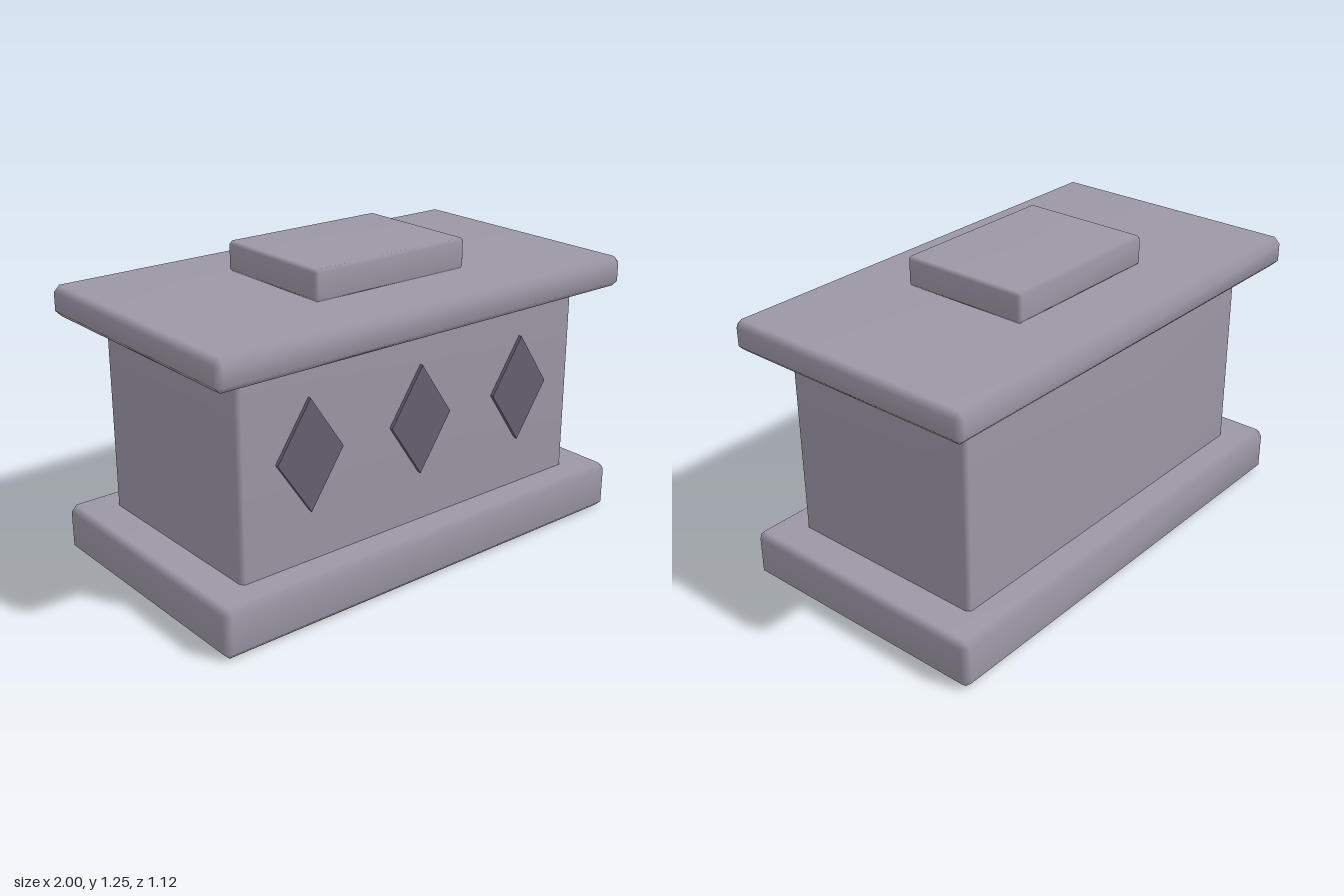
import * as THREE from 'three';
import { ConvexGeometry } from 'three/addons/geometries/ConvexGeometry.js';
import { mergeVertices } from 'three/addons/utils/BufferGeometryUtils.js';

// Box with one-step chamfers and softened normals
function chamferBox(w, h, d, c) {
  const pts = [];
  for (const x of [-1, 1]) for (const y of [-1, 1]) for (const z of [-1, 1]) {
    for (let axis = 0; axis < 3; axis++) {
      const inset = [c, c, c];
      inset[axis] = 0;
      pts.push(new THREE.Vector3(
        x * (w / 2 - inset[0]), y * (h / 2 - inset[1]), z * (d / 2 - inset[2])));
    }
  }
  let geo = new ConvexGeometry(pts);
  geo.deleteAttribute('normal');
  geo = mergeVertices(geo, 1e-4);
  geo.computeVertexNormals();
  return geo;
}

export function createModel() {
  const group = new THREE.Group();
  group.name = 'stoneChest';
  const stone = new THREE.MeshStandardMaterial({ color: 0x9c97a5 });
  stone.name = 'greyStone';
  const dark = new THREE.MeshStandardMaterial({ color: 0x665f70 });
  dark.name = 'darkStone';

  // Stacked slabs: name, width, depth, bottom, top, chamfer
  const slabs = [
    ['base', 2, 1.12, 0, 0.2, 0.025],
    ['body', 1.69, 0.874, 0.17, 1, 0.016],
    ['lid', 2, 1.12, 1, 1.125, 0.025],
    ['lidPlate', 0.744, 0.56, 1.125, 1.25, 0.013],
  ];
  for (const [name, w, d, y0, y1, c] of slabs) {
    const mesh = new THREE.Mesh(chamferBox(w, y1 - y0, d, c), stone);
    mesh.name = name;
    mesh.position.y = (y0 + y1) / 2;
    group.add(mesh);
  }

  // Raised diamonds on the front
  const diamond = new THREE.Shape([
    new THREE.Vector2(0, -0.223), new THREE.Vector2(0.15, 0),
    new THREE.Vector2(0, 0.223), new THREE.Vector2(-0.15, 0),
  ]);
  const diamondGeo = new THREE.ExtrudeGeometry(diamond, { depth: 0.016, bevelEnabled: false });
  ['rightDiamond', 'centreDiamond', 'leftDiamond'].forEach((name, i) => {
    const mesh = new THREE.Mesh(diamondGeo, dark);
    mesh.name = name;
    mesh.position.set((i - 1) * 0.537, 0.628, 0.436);
    group.add(mesh);
  });

  return group;
}
